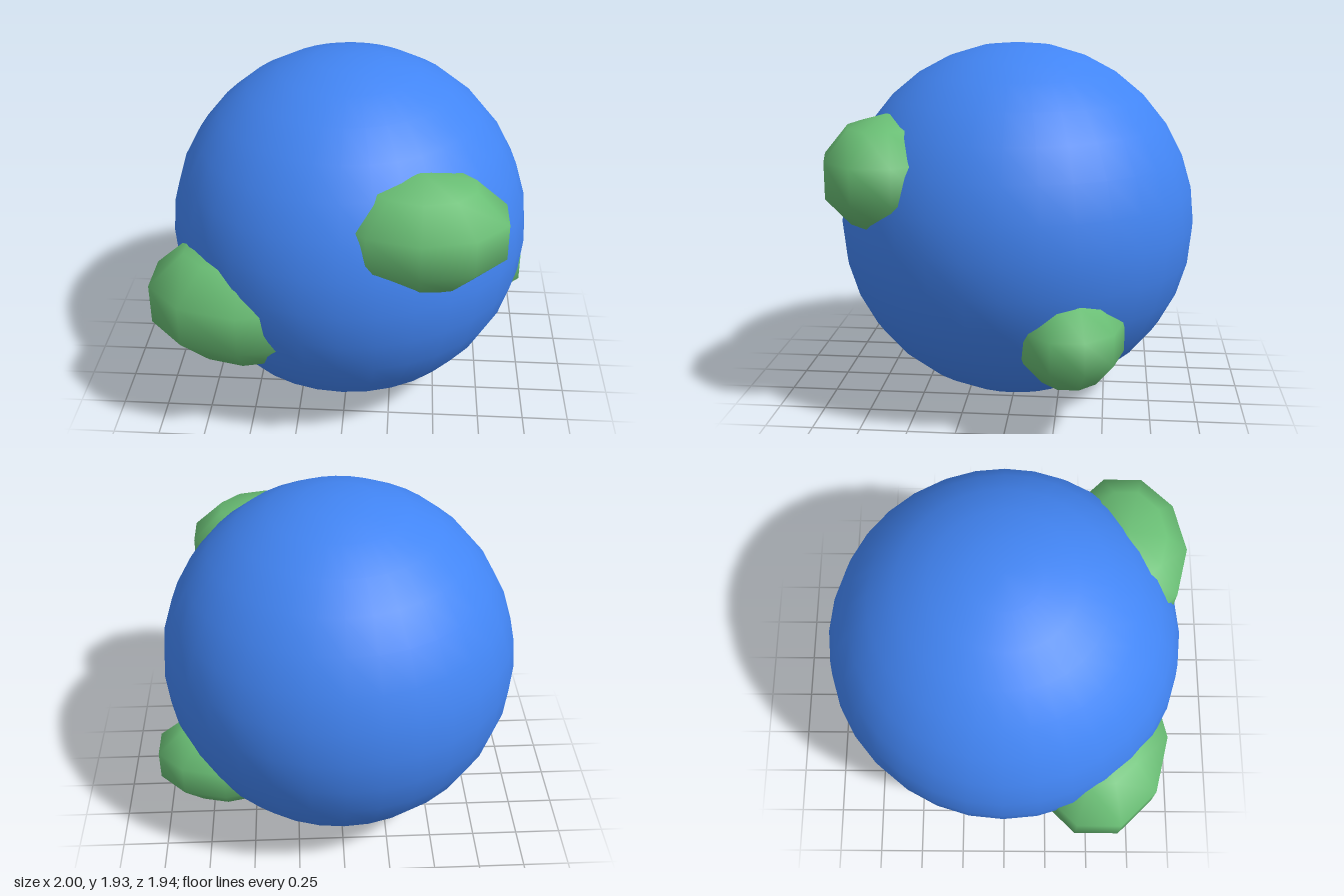
import * as THREE from 'three';

export function createModel() {
  const model = new THREE.Group();
  const blue = new THREE.MeshStandardMaterial({ color: 0x4285f4 });
  const green = new THREE.MeshStandardMaterial({ color: 0x6abf75 });

  // Large smooth ball
  const ball = new THREE.Mesh(new THREE.SphereGeometry(0.967, 32, 16), blue);
  ball.name = 'ball';
  ball.position.set(0.003, 0.968, -0.005);
  model.add(ball);

  // Low-sided stretched blobs, half sunk into the ball
  const blobGeometry = new THREE.SphereGeometry(1, 10, 5).rotateY(Math.PI / 2);
  const blobs = [
    { name: 'upperFrontPatch', at: [0.39, 1.292, 0.638], size: [0.464, 0.305, 0.348] },
    { name: 'rightFrontPatch', at: [-0.51, 0.78, 0.51], size: [0.542, 0.358, 0.406] },
    { name: 'leftRearPatch', at: [0.637, 0.522, -0.33], size: [0.402, 0.262, 0.287] },
  ];
  for (const { name, at, size } of blobs) {
    const blob = new THREE.Mesh(blobGeometry, green);
    blob.name = name;
    blob.position.set(...at);
    blob.scale.set(...size);
    model.add(blob);
  }
  return model;
}
